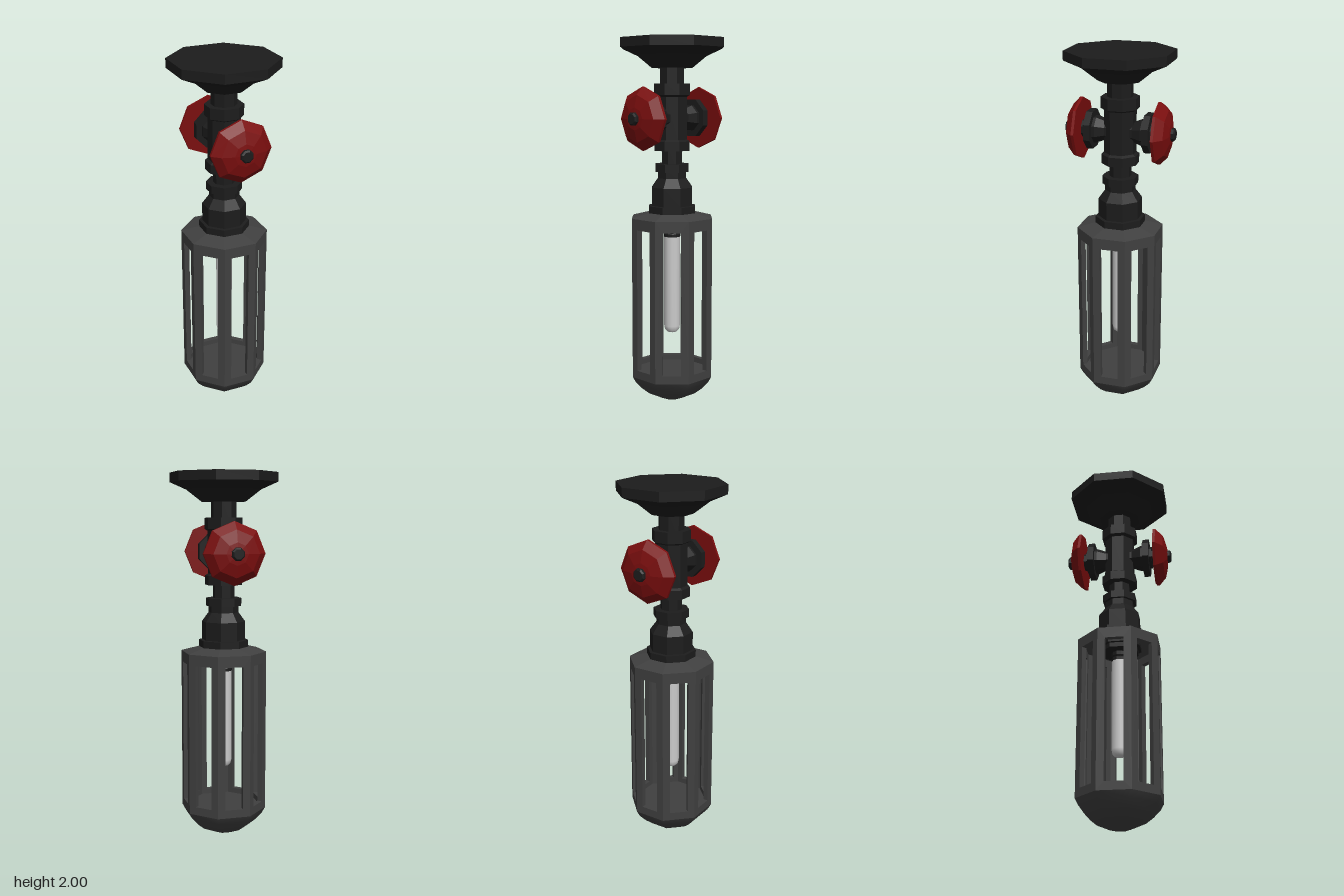
import * as THREE from 'three';

const SIDES = 8;
const flat = (color) => new THREE.MeshStandardMaterial({ color, flatShading: true });
const iron = flat(0x1c1c1c);
const cageMetal = flat(0x404040);
const domeMetal = new THREE.MeshStandardMaterial({ color: 0x404040 });
const red = flat(0x7a0e0e);
const glass = new THREE.MeshStandardMaterial({ color: 0xcccccc });

// Eight-sided turned part; profile is [distance to flat side, height], bottom to top
function turned(name, profile, material, { sides = SIDES, cornerUp = false } = {}) {
  const k = cornerUp ? 1 : 1 / Math.cos(Math.PI / sides);
  const points = profile.map(([r, y]) => new THREE.Vector2(r * k, y));
  const geometry = new THREE.LatheGeometry(points, sides, cornerUp ? 0 : Math.PI / sides);
  const mesh = new THREE.Mesh(geometry, material);
  mesh.name = name;
  return mesh;
}

// One wall of the cage: a thick panel with a tall window, facing +z
function cagePanel(apothem, bottom, top) {
  const half = apothem * Math.tan(Math.PI / SIDES);
  const rect = (path, w, y0, y1) => {
    path.moveTo(-w, y0);
    path.lineTo(w, y0);
    path.lineTo(w, y1);
    path.lineTo(-w, y1);
    path.closePath();
    return path;
  };
  const shape = rect(new THREE.Shape(), half, bottom, top);
  shape.holes.push(rect(new THREE.Path(), 0.05, 0.19, 0.975));
  const depth = 0.028;
  const geometry = new THREE.ExtrudeGeometry(shape, { depth, bevelEnabled: false });
  geometry.translate(0, 0, apothem - depth);
  return geometry;
}

// Valve stem, flange, handwheel and nut, pointing along +z
function valve() {
  const group = new THREE.Group();
  group.add(
    turned('valveStem', [
      [0.05, 0.05], [0.05, 0.075], [0.068, 0.125], [0.068, 0.14], [0.058, 0.14],
      [0.058, 0.19], [0.045, 0.19], [0.045, 0.22], [0, 0.22],
    ], iron),
    turned('valveFlange', [
      [0, 0.14], [0.1, 0.14], [0.1, 0.175], [0, 0.175],
    ], iron),
    turned('handwheel', [
      [0, 0.205], [0.168, 0.205], [0.168, 0.22], [0.125, 0.26], [0.06, 0.277], [0, 0.283],
    ], red, { cornerUp: true }),
    turned('wheelNut', [
      [0.033, 0.26], [0.033, 0.293], [0.025, 0.3], [0, 0.3],
    ], iron),
  );
  group.children.forEach((part) => part.geometry.rotateX(Math.PI / 2));
  return group;
}

export function createModel() {
  const model = new THREE.Group();
  model.name = 'pipeLamp';

  // Ceiling mount and vertical pipework
  model.add(
    turned('ceilingFlange', [
      [0, 1.845], [0.11, 1.845], [0.188, 1.91], [0.272, 1.95], [0.272, 2], [0, 2],
    ], iron),
    turned('upperPipe', [[0.064, 1.72], [0.064, 1.86]], iron),
    turned('valveBody', [
      [0, 1.4], [0.094, 1.4], [0.094, 1.45], [0.08, 1.46], [0.08, 1.69],
      [0.096, 1.7], [0.096, 1.76], [0, 1.76],
    ], iron),
    turned('lowerPipe', [[0.055, 1.3], [0.055, 1.42]], iron),
    turned('pipeCollar', [
      [0, 1.285], [0.09, 1.285], [0.09, 1.328], [0, 1.328],
    ], iron),
    turned('lampNeck', [
      [0, 1.055], [0.126, 1.055], [0.126, 1.098], [0.11, 1.1], [0.11, 1.2],
      [0.076, 1.25], [0.076, 1.3],
    ], iron),
  );

  // Matching valves at the front and back
  for (const [name, angle] of [['frontValve', 0], ['backValve', Math.PI]]) {
    const v = valve();
    v.name = name;
    v.position.y = 1.575;
    v.rotation.y = angle;
    model.add(v);
  }

  // Cage walls
  const cage = new THREE.Group();
  cage.name = 'cage';
  const panel = cagePanel(0.218, 0.145, 1.035);
  for (let i = 0; i < SIDES; i++) {
    const wall = new THREE.Mesh(panel, cageMetal);
    wall.name = 'cageWall';
    wall.rotation.y = (i * Math.PI * 2) / SIDES;
    cage.add(wall);
  }

  // Cage roof, floor and rounded bottom
  cage.add(
    turned('cageRoof', [
      [0, 1.02], [0.19, 1.02], [0.218, 1.035], [0.12, 1.062], [0, 1.062],
    ], cageMetal),
    turned('cageFloor', [[0.19, 0.16], [0, 0.16]], cageMetal),
    turned('bottomDome', [
      [0, 0], [0.055, 0.003], [0.127, 0.037], [0.165, 0.07], [0.2, 0.11], [0.218, 0.145],
    ], domeMetal),
  );
  model.add(cage);

  // Lamp holder and tube bulb
  model.add(
    turned('lampHolder', [
      [0, 0.975], [0.1, 0.975], [0.1, 1.0], [0.115, 1.0], [0.115, 1.03],
    ], iron),
    turned('bulbSocket', [
      [0, 0.925], [0.044, 0.925], [0.044, 0.94], [0.04, 0.945], [0.044, 0.955], [0.044, 0.98],
    ], iron, { sides: 12 }),
    turned('bulb', [
      [0, 0.38], [0.026, 0.384], [0.038, 0.396], [0.043, 0.42], [0.043, 0.93],
    ], glass, { sides: 12 }),
  );

  return model;
}
